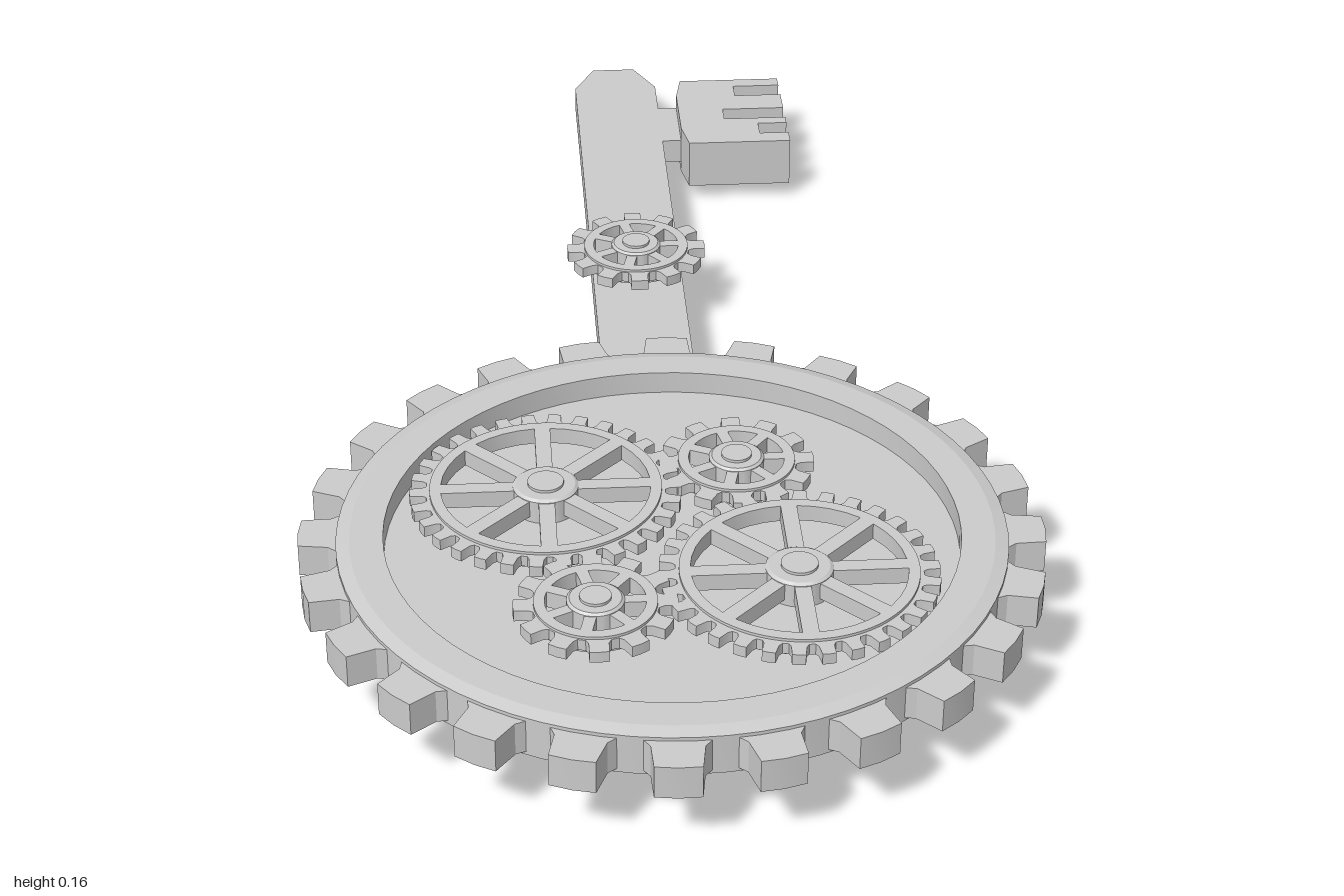
import * as THREE from 'three';
import { toCreasedNormals } from 'three/addons/utils/BufferGeometryUtils.js';

const material = new THREE.MeshStandardMaterial({ color: 0xcccccc });

function part(name, geometry, crease = 0.5) {
  const mesh = new THREE.Mesh(toCreasedNormals(geometry, crease), material);
  mesh.name = name;
  return mesh;
}

// Extrudes a flat outline upwards from y0 to y1 (outline y becomes -z)
function slab(shape, y0, y1) {
  const geometry = new THREE.ExtrudeGeometry(shape, { depth: y1 - y0, bevelEnabled: false, curveSegments: 48 });
  return geometry.rotateX(-Math.PI / 2).translate(0, y0, 0);
}

const polar = (r, a) => new THREE.Vector2(r * Math.cos(a), r * Math.sin(a));

function circlePath(r) {
  return new THREE.Path().absarc(0, 0, r, 0, Math.PI * 2, true);
}

// Toothed outline: slightly tapered teeth with rounded gaps
function gearShape(count, root, outer, offset = 0) {
  const points = [], pitch = Math.PI * 2 / count;
  for (let i = 0; i < count; i++) {
    const a = offset + i * pitch, mid = root + (outer - root) * 0.25;
    for (const [r, f] of [[mid, -0.28], [outer, -0.23], [outer * 1.003, 0], [outer, 0.23], [mid, 0.28], [root, 0.38], [root, 0.62]]) {
      points.push(polar(r, a + f * pitch));
    }
  }
  return new THREE.Shape(points);
}

// Disc pierced by wedge-shaped windows, leaving straight spokes
function spokedDisc(radius, spokes, inner, outer, spokeWidth) {
  const shape = new THREE.Shape().absarc(0, 0, radius, 0, Math.PI * 2, false);
  const step = Math.PI * 2 / spokes;
  for (let i = 0; i < spokes; i++) {
    const a0 = i * step, a1 = a0 + step;
    const di = Math.asin(spokeWidth / 2 / inner), d = Math.asin(spokeWidth / 2 / outer);
    const points = [polar(inner, a0 + di), polar(inner, a1 - di)];
    for (let k = 0; k <= 4; k++) points.push(polar(outer, a1 - d - (step - 2 * d) * k / 4));
    shape.holes.push(new THREE.Path(points));
  }
  return shape;
}

// Clockwork wheel centred on its own mid-plane
function wheel(name, { teeth, root, outer, spokes, hub, window, spokeWidth }) {
  const group = new THREE.Group();
  group.name = name;
  const rim = gearShape(teeth, root, outer);
  rim.holes.push(circlePath(window + 0.002));
  const hubProfile = [[0, -0.022], [hub, -0.022], [hub, 0.013], [hub * 0.9, 0.016], [hub * 0.55, 0.016],
    [hub * 0.55, 0.02], [0, 0.02]].map(p => new THREE.Vector2(...p));
  group.add(
    part('wheelTeeth', slab(rim, -0.008, 0.008)),
    part('wheelSpokes', slab(spokedDisc(root * 0.97, spokes, hub, window, spokeWidth), -0.012, 0.012)),
    part('wheelHub', new THREE.LatheGeometry(hubProfile, 32)));
  return group;
}

// Joins six-sided cross-sections {z, w: side, m: side bottom y, b: bottom half width, y: bottom}
function shaftGeometry(sections, top) {
  const positions = [], index = [];
  for (const { z, w, m, b, y } of sections) {
    for (const [px, py] of [[-w, top], [w, top], [w, m], [b, y], [-b, y], [-w, m]]) positions.push(px, py, z);
  }
  for (let i = 0; i < sections.length - 1; i++) {
    for (let j = 0; j < 6; j++) {
      const a = i * 6 + j, b = i * 6 + (j + 1) % 6;
      index.push(a, b, a + 6, b, b + 6, a + 6);
    }
  }
  const last = (sections.length - 1) * 6;
  for (let k = 1; k < 5; k++) index.push(last, last + k, last + k + 1);
  const geometry = new THREE.BufferGeometry();
  geometry.setAttribute('position', new THREE.Float32BufferAttribute(positions, 3));
  geometry.setIndex(index);
  geometry.computeVertexNormals();
  return geometry;
}

export function createModel() {
  const model = new THREE.Group();
  model.name = 'clockworkKey';

  // Round bow: dished disc with a toothed edge
  const bow = new THREE.Group();
  bow.name = 'bow';
  bow.position.z = 0.5;
  const dish = [[0, 0.083], [0.43, 0.083], [0.448, 0.088], [0.448, 0.145], [0.43, 0.15], [0.385, 0.15],
    [0.385, 0.117], [0, 0.117]].map(p => new THREE.Vector2(...p));
  bow.add(part('bowDish', new THREE.LatheGeometry(dish, 72), 0.2));
  const edge = gearShape(24, 0.445, 0.498, -0.052);
  edge.holes.push(circlePath(0.41));
  bow.add(part('bowTeeth', slab(edge, 0.093, 0.14)));
  model.add(bow);

  // Meshing wheels in the dish, and one on the shaft
  const large = { teeth: 30, root: 0.163, outer: 0.185, spokes: 8, hub: 0.045, window: 0.143, spokeWidth: 0.022 };
  const small = { teeth: 12, root: 0.083, outer: 0.107, spokes: 7, hub: 0.038, window: 0.066, spokeWidth: 0.016 };
  const wheels = [
    ['largeWheelRight', large, -0.165, 0.137, 0.394],
    ['largeWheelLeft', large, 0.16, 0.137, 0.606],
    ['smallWheelLeft', small, 0.1, 0.137, 0.34],
    ['smallWheelRight', small, -0.11, 0.137, 0.662],
    ['shaftWheel', small, 0, 0.105, -0.32],
  ];
  for (const [name, spec, x, y, z] of wheels) {
    const w = wheel(name, spec);
    w.position.set(x, y, z);
    model.add(w);
  }

  // Shaft: pointed flare under the bow, chamfered bar, narrowed tip
  model.add(part('shaft', shaftGeometry([
    { z: 0.5, w: 0, m: 0.083, b: 0, y: 0.083 },
    { z: 0.13, w: 0.1, m: 0.04, b: 0.053, y: 0 },
    { z: 0.06, w: 0.069, m: 0.04, b: 0.035, y: 0.008 },
    { z: -0.93, w: 0.069, m: 0.04, b: 0.035, y: 0.008 },
    { z: -1, w: 0.035, m: 0.009, b: 0.034, y: 0.008 },
  ], 0.083), 0.1));

  // Bit with three notches, joined by a short neck
  const bit = new THREE.Shape([
    [0.11, 0.675], [0.278, 0.675], [0.278, 0.705], [0.23, 0.705], [0.23, 0.74], [0.278, 0.74], [0.278, 0.76],
    [0.175, 0.76], [0.175, 0.795], [0.278, 0.795], [0.278, 0.845], [0.2, 0.845], [0.2, 0.88], [0.278, 0.88],
    [0.278, 0.905], [0.11, 0.905], [0.1, 0.85], [0.1, 0.73],
  ].map(p => new THREE.Vector2(...p)));
  model.add(part('bit', slab(bit, 0.025, 0.105), 0.1));
  const neck = part('bitNeck', new THREE.BoxGeometry(0.06, 0.04, 0.12));
  neck.position.set(0.085, 0.062, -0.79);
  model.add(neck);

  return model;
}
